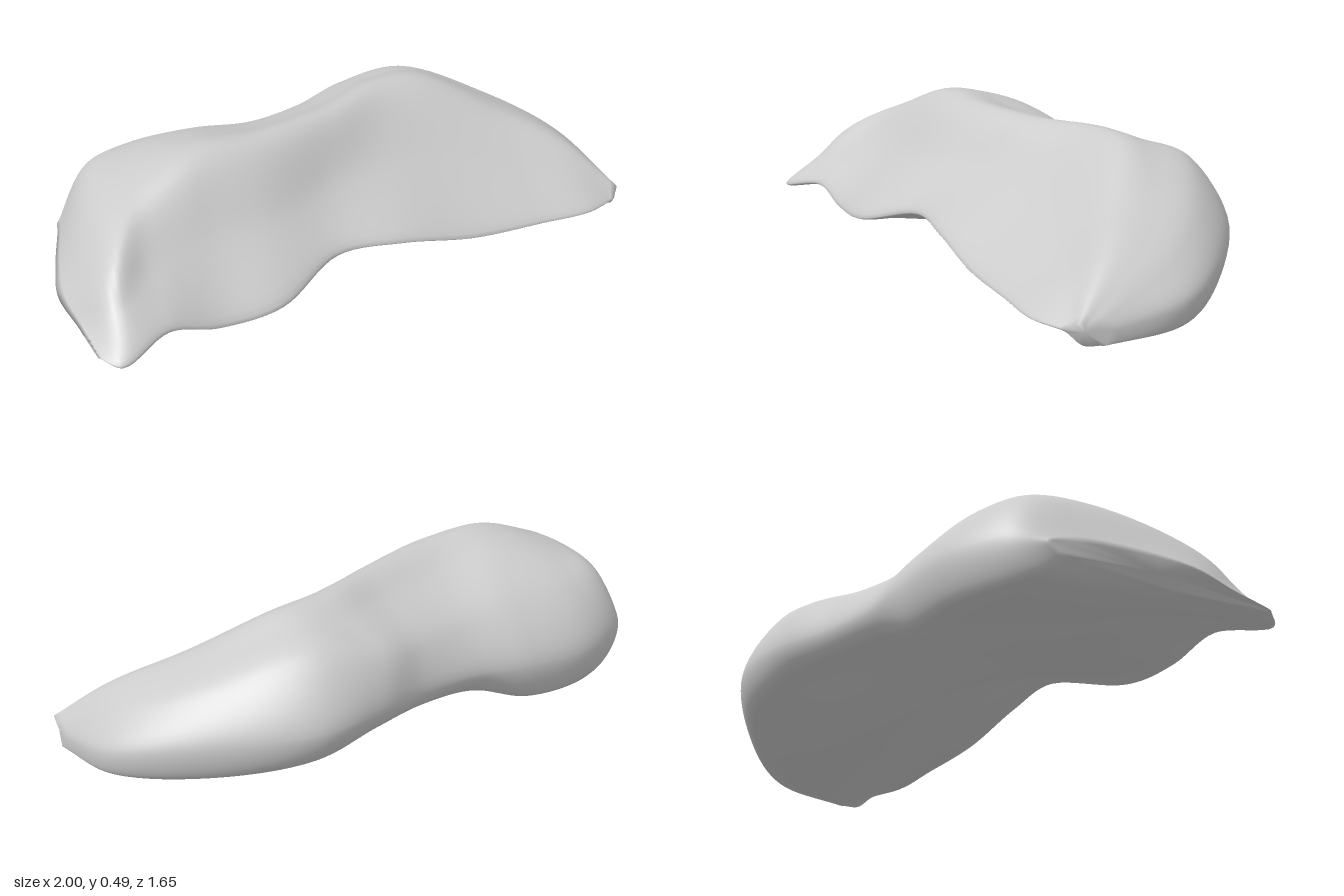
import * as THREE from 'three';

// Rails running from the left end to the right end of the boulder (x, y, z)
const frontEdge = [
  [-.76, .09, .79], [-.68, .075, .82], [-.55, .11, .67], [-.4, .06, .57], [-.2, .07, .46], [-.02, .14, .24],
  [.2, .13, .14], [.45, .08, .02], [.7, .065, -.11], [.88, .06, -.2], [.98, .06, -.3]];
const ridge = [
  [-.93, .13, .5], [-.75, .28, .58], [-.665, .405, .35], [-.5, .485, .2], [-.28, .485, .06], [-.05, .48, -.17],
  [.12, .485, -.38], [.28, .465, -.46], [.55, .34, -.45], [.8, .23, -.42], [.995, .085, -.35]];
const crown = [
  [-.965, .15, .32], [-.85, .365, .23], [-.73, .435, .1], [-.53, .475, .02], [-.32, .435, -.13], [-.11, .43, -.31],
  [.05, .44, -.5], [.23, .45, -.57], [.53, .335, -.58], [.79, .22, -.52], [.99, .08, -.37]];
const shoulder = [
  [-.985, .16, .15], [-.9, .35, .01], [-.77, .37, -.12], [-.55, .37, -.23], [-.36, .34, -.34], [-.19, .34, -.48],
  [-.04, .36, -.63], [.18, .4, -.7], [.5, .3, -.7], [.78, .19, -.61], [.985, .075, -.39]];
const backEdge = [
  [-1, .15, .06], [-.96, .18, -.07], [-.82, .18, -.24], [-.6, .18, -.355], [-.4, .19, -.43], [-.2, .2, -.56],
  [-.03, .21, -.71], [.17, .2, -.82], [.48, .17, -.8], [.8, .11, -.68], [.97, .05, -.43]];
// Heights of the rear bottom edge and of the middle of the underside
const creaseHeights = [.12, .06, .035, .04, .11, .135, .135, .09, .045, .02, .01];
const bellyHeights = [.085, .065, .055, .065, .065, .055, .04, .03, .03, .02, .01];

const spline = (points, closed) => new THREE.CatmullRomCurve3(points, closed, 'centripetal');
const toVectors = rail => rail.map(p => new THREE.Vector3(...p));

// Full set of rails: five drawn ones plus those filled in between them
function makeRails() {
  const [F, R, C, S, B] = [frontEdge, ridge, crown, shoulder, backEdge].map(toVectors);
  const between = (a, b, t) => a.map((p, i) => p.clone().lerp(b[i], t));
  const under = (t, heights) => between(F, B, t).map((v, i) => v.setY(heights[i]));
  const crease = under(.95, creaseHeights);
  const belly = under(.45, bellyHeights);
  return [F, between(F, R, .5), R, C, S, B,
    crease, between(crease, belly, .2), belly, between(F, belly, .2)];
}

// Skin the rails with smooth closed sections
function skin(rails, along = 80, around = 80) {
  const curves = rails.map(rail => spline(rail, false));
  const positions = [], index = [];
  const ends = [];
  for (let i = 0; i <= along; i++) {
    const ring = spline(curves.map(c => c.getPoint(i / along)), true);
    const centre = new THREE.Vector3();
    for (let j = 0; j < around; j++) {
      const p = ring.getPoint(j / around);
      positions.push(p.x, Math.max(p.y, 0), p.z);
      centre.addScaledVector(p, 1 / around);
    }
    if (i === 0 || i === along) ends.push(centre);
  }
  for (let i = 0; i < along; i++) {
    for (let j = 0; j < around; j++) {
      const a = i * around + j, b = i * around + (j + 1) % around;
      const c = a + around, d = b + around;
      index.push(a, c, b, b, c, d);
    }
  }
  // End caps
  const first = positions.length / 3;
  ends.forEach(e => positions.push(e.x, e.y, e.z));
  const tail = along * around;
  for (let j = 0; j < around; j++) {
    const k = (j + 1) % around;
    index.push(first, j, k, first + 1, tail + k, tail + j);
  }
  const geometry = new THREE.BufferGeometry();
  geometry.setAttribute('position', new THREE.Float32BufferAttribute(positions, 3));
  geometry.setIndex(index);
  geometry.computeVertexNormals();
  return geometry;
}

export function createModel() {
  const group = new THREE.Group();
  group.name = 'boulder';
  const rock = new THREE.Mesh(skin(makeRails()), new THREE.MeshStandardMaterial({ color: 0xcccccc }));
  rock.name = 'rock';
  group.add(rock);
  return group;
}
